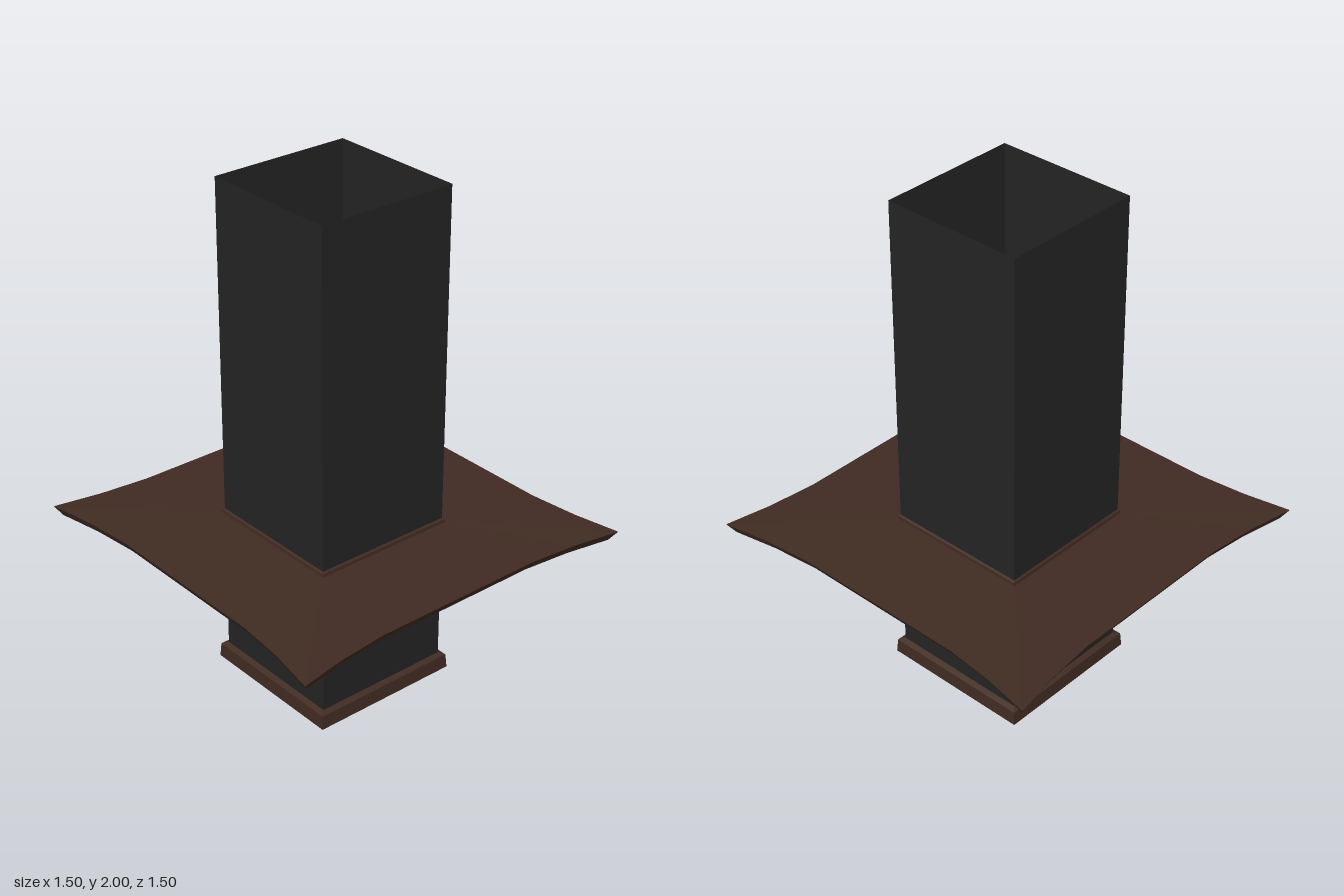
import * as THREE from 'three';

// One side of a plan outline, turned four times into a closed loop
function fourSided(side) {
  const loop = [];
  for (let k = 0; k < 4; k++) {
    for (const [x, z] of side) {
      let p = [x, z];
      for (let i = 0; i < k; i++) p = [p[1], -p[0]];
      loop.push(p);
    }
  }
  return loop;
}

const square = (h) => fourSided([[-h, h]]);
const scaled = (loop, s) => loop.map(([x, z]) => [x * s, z * s]);

// Skin a list of [loop, height] sections with flat faces
function skin(sections) {
  const pos = [];
  for (let s = 0; s < sections.length - 1; s++) {
    const [lo, y0] = sections[s];
    const [hi, y1] = sections[s + 1];
    for (let i = 0; i < lo.length; i++) {
      const j = (i + 1) % lo.length;
      const a = [lo[i][0], y0, lo[i][1]];
      const b = [lo[j][0], y0, lo[j][1]];
      const c = [hi[j][0], y1, hi[j][1]];
      const d = [hi[i][0], y1, hi[i][1]];
      pos.push(...a, ...b, ...c, ...a, ...c, ...d);
    }
  }
  const geo = new THREE.BufferGeometry();
  geo.setAttribute('position', new THREE.Float32BufferAttribute(pos, 3));
  geo.computeVertexNormals();
  return geo;
}

export function createModel() {
  const model = new THREE.Group();
  model.name = 'squareColumn';

  const charcoal = new THREE.MeshStandardMaterial({ color: 0x242424, side: THREE.DoubleSide });
  charcoal.name = 'charcoal';
  const brown = new THREE.MeshStandardMaterial({ color: 0x402b22, side: THREE.DoubleSide });
  brown.name = 'darkBrown';

  const add = (name, sections, material) => {
    const mesh = new THREE.Mesh(skin(sections), material);
    mesh.name = name;
    model.add(mesh);
  };

  const R = 0.288; // half width of the shaft

  // Thin open shaft
  add('shaft', [[square(R), 0], [square(R), 2]], charcoal);

  // Base trim with a bevelled top, open inside
  add('baseTrim', [
    [square(R + 0.001), 0], [square(0.313), 0], [square(0.309), 0.056], [square(R + 0.001), 0.066],
  ], brown);

  // Roof skirt with concave edges, flared corners and a slanted rim
  const outline = fourSided([[-0.75, 0.75], [-0.56, 0.715], [-0.36, 0.695], [0.36, 0.695], [0.56, 0.715]]);
  const inner = outline.map(([x, z]) => {
    const s = (R + 0.001) / Math.max(Math.abs(x), Math.abs(z));
    return [x * s, z * s];
  });
  add('roofSkirt', [
    [inner, 0.61], [scaled(outline, 0.967), 0.61], [outline, 0.647], [inner, 0.655],
  ], brown);

  // Collar where the skirt meets the shaft
  add('collar', [
    [square(0.297), 0.645], [square(0.295), 0.668], [square(R + 0.001), 0.674],
  ], brown);

  return model;
}
